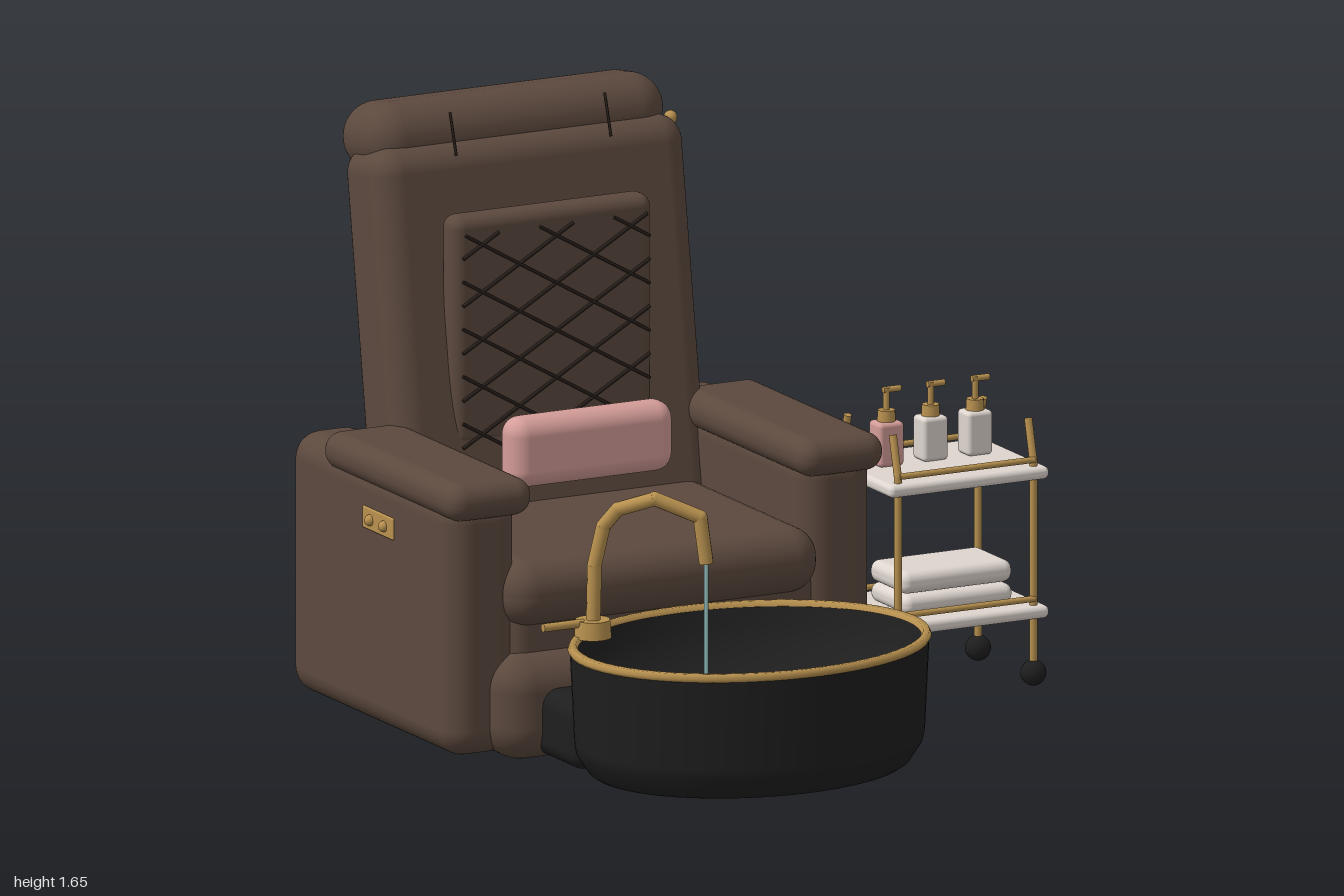
import * as THREE from 'three';
import { RoundedBoxGeometry } from 'three/addons/geometries/RoundedBoxGeometry.js';

const mat = (name, color, opts = {}) => {
  const m = new THREE.MeshStandardMaterial({ color, ...opts });
  m.name = name;
  return m;
};

export function createModel() {
  const leather = mat('brown leather', 0x5c493e);
  const black = mat('black', 0x1e1e1e, { side: THREE.DoubleSide });
  const gold = mat('gold', 0xb8914f);
  const pink = mat('pink', 0xd39c98);
  const water = mat('water', 0x8fb9b8);
  const cream = mat('cream', 0xded5ce);
  const seam = mat('dark seam', 0x271f1b);

  const model = new THREE.Group();
  model.name = 'pedicureStation';
  const group = (name) => {
    const g = new THREE.Group();
    g.name = name;
    model.add(g);
    return g;
  };
  const add = (parent, name, geo, material, x = 0, y = 0, z = 0) => {
    const m = new THREE.Mesh(geo, material);
    m.name = name;
    m.position.set(x, y, z);
    parent.add(m);
    return m;
  };
  // Rounded box given by its extents
  const pad = (parent, name, material, [x0, x1], [y0, y1], [z0, z1], r, seg = 5) =>
    add(parent, name, new RoundedBoxGeometry(x1 - x0, y1 - y0, z1 - z0, seg, r), material,
      (x0 + x1) / 2, (y0 + y1) / 2, (z0 + z1) / 2);
  // Round bar between two points
  const rod = (parent, name, material, a, b, r, sides = 12) => {
    const p = new THREE.Vector3(...a), q = new THREE.Vector3(...b);
    const d = q.clone().sub(p);
    const m = add(parent, name, new THREE.CylinderGeometry(r, r, d.length(), sides), material);
    m.position.copy(p).add(q).multiplyScalar(0.5);
    m.quaternion.setFromUnitVectors(new THREE.Vector3(0, 1, 0), d.normalize());
    return m;
  };
  const ball = (parent, name, material, x, y, z, r) =>
    add(parent, name, new THREE.SphereGeometry(r, 16, 12), material, x, y, z);

  // ---- Chair ----
  const cx = -0.27;
  const chair = group('chair');
  pad(chair, 'base', leather, [-0.81, 0.265], [0, 0.3], [-0.85, 0.16], 0.1);
  pad(chair, 'seatSupport', leather, [-0.75, 0.21], [0.15, 0.45], [-0.82, 0.08], 0.06);
  pad(chair, 'seatCushion', leather, [-0.77, 0.205], [0.37, 0.555], [-0.7, 0.135], 0.085);
  pad(chair, 'footBlock', black, [-0.69, 0.15], [0.015, 0.21], [0.0, 0.355], 0.05);
  for (const s of [-1, 1]) {
    const arm = group(s < 0 ? 'rightArm' : 'leftArm');
    const span = (a, b) => [cx + s * a, cx + s * b].sort((p, q) => p - q);
    pad(arm, 'armPanel', leather, span(0.44, 0.662), [0.015, 0.75], [-0.88, 0.075], 0.075);
    pad(arm, 'armPad', leather, span(0.415, 0.677), [0.69, 0.795], [-0.66, 0.115], 0.05);
    // Control plate with two buttons on the outer side
    pad(arm, 'controlPlate', gold, span(0.655, 0.667), [0.57, 0.632], [-0.43, -0.25], 0.005, 2);
    for (const z of [-0.38, -0.3]) ball(arm, 'button', gold, cx + s * 0.668, 0.6, z, 0.016);
  }

  // Leaning back and headrest
  const lean = -0.155;
  const back = add(chair, 'backrest', new RoundedBoxGeometry(0.965, 1.11, 0.25, 6, 0.075), leather, cx, 0.985, -0.717);
  back.rotation.x = lean;
  const head = add(chair, 'headrest', new RoundedBoxGeometry(0.93, 0.2, 0.265, 8, 0.098), leather, cx, 1.542, -0.858);
  head.rotation.x = lean;
  for (const x of [-0.515, -0.035])
    rod(chair, 'headrestSeam', seam, [x, 1.515, -0.67], [x, 1.63, -0.707], 0.004, 6);
  ball(chair, 'reclineKnob', gold, 0.24, 1.5, -0.84, 0.019);

  // Quilted panel with diamond stitching clipped to a window
  pad(chair, 'quiltedPanel', leather, [-0.585, 0.035], [0.72, 1.37], [-0.64, -0.55], 0.035);
  const win = { x0: -0.56, x1: 0.02, y0: 0.72, y1: 1.32 };
  const slope = 0.58;
  for (const dir of [-1, 1]) {
    for (let k = -8; k <= 8; k++) {
      const yAt = (x) => 1.29 + dir * slope * (x - cx) + k * 0.1335;
      const xAt = (y) => cx + (y - 1.29 - k * 0.1335) / (dir * slope);
      const xs = [xAt(win.y0), xAt(win.y1)].sort((a, b) => a - b);
      const a = Math.max(win.x0, xs[0]), b = Math.min(win.x1, xs[1]);
      if (b - a > 0.03) rod(chair, 'stitchLine', seam, [a, yAt(a), -0.546], [b, yAt(b), -0.546], 0.005, 6);
    }
  }
  pad(chair, 'lumbarPillow', pink, [-0.527, -0.02], [0.645, 0.843], [-0.42, -0.31], 0.05);

  // ---- Foot basin ----
  const basin = group('footBasin');
  const bx = -0.273, bz = 0.582, rx = 0.515, rz = 0.405;
  const profile = (pts) => new THREE.LatheGeometry(pts.map((p) => new THREE.Vector2(...p)), 64);
  const oval = (name, geo, material, y = 0) => {
    const m = add(basin, name, geo, material, bx, y, bz);
    m.scale.set(rx, 1, rz);
    return m;
  };
  oval('basinWall', profile([[0.68, 0.1], [0.72, 0.04], [0.87, 0.04], [0.9, 0.05], [0.965, 0.1], [0.975, 0.13], [1, 0.39]]), black);
  oval('basinUnderside', profile([[0.15, 0.1], [0.68, 0.1]]), black);
  oval('basinBowl', profile([[0.15, 0.16], [0.35, 0.17], [0.54, 0.2], [0.74, 0.235], [0.87, 0.29], [0.93, 0.34], [0.965, 0.39]]), black);
  oval('basinRim', profile([[0.955, 0.388], [1, 0.38], [1.012, 0.39], [1, 0.403], [0.965, 0.403], [0.955, 0.388]]), gold);
  oval('waterSurface', new THREE.CylinderGeometry(0.545, 0.545, 0.006, 48), water, 0.2);
  add(basin, 'drain', new THREE.CylinderGeometry(0.035, 0.035, 0.012, 24), gold, bx, 0.206, bz);

  // Faucet with straight pipe sections
  const faucet = group('faucet');
  add(faucet, 'faucetBase', new THREE.CylinderGeometry(0.048, 0.052, 0.05, 20), gold, -0.64, 0.422, 0.358);
  const pipe = [[-0.64, 0.43, 0.36], [-0.636, 0.6, 0.36], [-0.615, 0.71, 0.372], [-0.585, 0.76, 0.4],
    [-0.51, 0.797, 0.475], [-0.4, 0.745, 0.533], [-0.385, 0.615, 0.54]];
  pipe.slice(1).forEach((p, i) => {
    rod(faucet, 'spoutPipe', gold, pipe[i], p, 0.02);
    if (i < pipe.length - 2) ball(faucet, 'spoutJoint', gold, ...p, 0.02);
  });
  rod(faucet, 'faucetHandle', gold, [-0.795, 0.44, 0.358], [-0.67, 0.44, 0.358], 0.012);
  rod(faucet, 'waterStream', water, [-0.385, 0.2, 0.54], [-0.385, 0.62, 0.54], 0.007, 8);

  // ---- Trolley ----
  const cart = group('trolley');
  for (const [y, name] of [[0.193, 'lowerShelf'], [0.585, 'upperShelf']]) {
    pad(cart, name, cream, [0.46, 0.955], [y, y + 0.036], [-0.36, 0.03], 0.015, 3);
    for (const z of [-0.325, 0.005])
      rod(cart, 'shelfRail', gold, [0.5, y + 0.054, z], [0.92, y + 0.054, z], 0.009);
  }
  for (const x of [0.498, 0.918]) {
    for (const [z, zTop] of [[0, -0.03], [-0.322, -0.292]]) {
      rod(cart, 'post', gold, [x, 0.05, z], [x, 0.64, z], 0.011);
      rod(cart, 'postTip', gold, [x, 0.635, z], [x, 0.75, zTop], 0.011);
      ball(cart, 'caster', black, x, 0.038, z, 0.036);
    }
  }
  pad(cart, 'lowerTowel', cream, [0.54, 0.878], [0.23, 0.285], [-0.25, -0.035], 0.024);
  pad(cart, 'upperTowel', cream, [0.535, 0.88], [0.288, 0.35], [-0.245, -0.04], 0.026);

  // Pump bottles
  [0.57, 0.707, 0.845].forEach((x, i) => {
    const z = -0.202;
    pad(cart, 'bottle', i ? cream : pink, [x - 0.039, x + 0.039], [0.621, 0.745], [z - 0.035, z + 0.035], 0.012, 3);
    add(cart, 'bottleCollar', new THREE.CylinderGeometry(0.024, 0.026, 0.032, 16), gold, x, 0.76, z);
    rod(cart, 'pumpStem', gold, [x, 0.77, z], [x, 0.838, z], 0.009);
    rod(cart, 'pumpNozzle', gold, [x - 0.01, 0.832, z], [x + 0.042, 0.832, z], 0.009);
  });

  return model;
}
